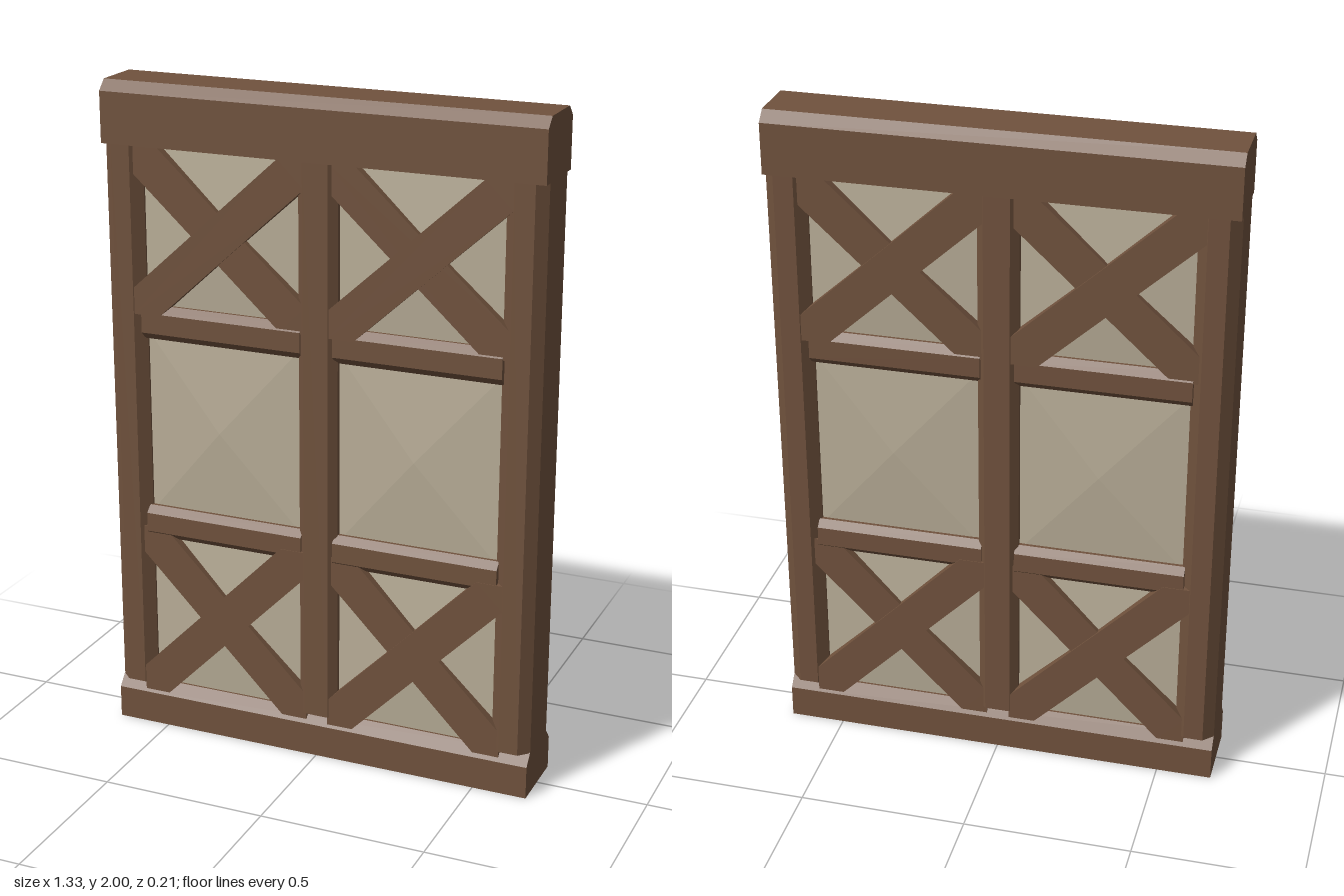
import * as THREE from 'three';

const timber = new THREE.MeshStandardMaterial({ color: 0x70523d });
timber.name = 'brown timber';
const plaster = new THREE.MeshStandardMaterial({ color: 0xb9ae98 });
plaster.name = 'beige plaster';

// Straight prism along z from a list of outline points
function prism(points, length) {
  const shape = new THREE.Shape(points.map(([x, y]) => new THREE.Vector2(x, y)));
  return new THREE.ExtrudeGeometry(shape, { depth: length, bevelEnabled: false });
}

// Horizontal timber: outline in depth and height, run from x0 to x1
function beam(points, x0, x1) {
  return prism(points, x1 - x0).rotateY(Math.PI / 2).translate(x0, 0, 0);
}

// Rectangle with all four corners chamfered
function chamfered(w, h, c, cy = 0) {
  return [
    [-w + c, cy - h], [w - c, cy - h], [w, cy - h + c], [w, cy + h - c],
    [w - c, cy + h], [-w + c, cy + h], [-w, cy + h - c], [-w, cy - h + c],
  ];
}

// Infill cell: shallow four-sided bulge facing +z
function bulge(x0, x1, y0, y1, ax, ay) {
  const base = 0.066, peak = 0.086;
  const corners = [[x0, y0], [x1, y0], [x1, y1], [x0, y1]];
  const pos = [];
  corners.forEach(([x, y], i) => {
    const [nx, ny] = corners[(i + 1) % 4];
    pos.push(x, y, base, nx, ny, base, ax, ay, peak);
  });
  const g = new THREE.BufferGeometry();
  g.setAttribute('position', new THREE.Float32BufferAttribute(pos, 3));
  g.computeVertexNormals();
  return g;
}

// Diagonal brace with ends cut square to the bay; flip leans it the other way
function brace(x0, x1, y0, y1, front, flip) {
  const a = 0.08, b = 0.08;
  let pts = [
    [x0, y0], [x0 + a, y0], [x1, y1 - b], [x1, y1], [x1 - a, y1], [x0, y0 + b],
  ];
  if (flip) pts = pts.map(([x, y]) => [x0 + x1 - x, y]).reverse();
  return prism(pts, front - 0.03).translate(0, 0, 0.03);
}

export function createModel() {
  const model = new THREE.Group();
  model.name = 'timberFramedWall';
  const add = (parent, name, geometry, material) => {
    const mesh = new THREE.Mesh(geometry, material);
    mesh.name = name;
    parent.add(mesh);
  };

  // Sill and head beams, chamfered along their upper edges
  const W = 0.665, D = 0.105;
  add(model, 'sillBeam', beam(
    [[-D, 0], [D, 0], [D, 0.1], [0.075, 0.135], [-0.075, 0.135], [-D, 0.1]], -W, W), timber);
  add(model, 'headBeam', beam(
    [[-D, 1.82], [D, 1.82], [D, 1.97], [0.075, 2], [-0.075, 2], [-D, 1.97]], -W, W), timber);

  // Posts
  const post = (name, x, half, c) => add(model, name,
    prism(chamfered(half, 0.104, c), 1.69).rotateX(-Math.PI / 2).translate(x, 0.133, 0), timber);
  post('leftPost', 0.606, 0.059, 0.03);
  post('rightPost', -0.606, 0.059, 0.03);
  post('centrePost', 0, 0.06, 0.022);

  // Rails across each bay
  for (const [side, x0, x1] of [['right', -0.555, -0.05], ['left', 0.05, 0.555]]) {
    add(model, side + 'LowerRail', beam(chamfered(0.1, 0.05, 0.021, 0.67), x0, x1), timber);
    add(model, side + 'UpperRail', beam(chamfered(0.1, 0.052, 0.022, 1.297), x0, x1), timber);
  }

  // Cross braces and bulging infill, the same on both faces
  for (const face of ['front', 'back']) {
    const half = new THREE.Group();
    half.name = face + 'Face';
    if (face === 'back') half.rotation.y = Math.PI;
    for (const s of [-1, 1]) {
      const bx = s * 0.305;
      for (const [level, y0, y1] of [['lower', 0.11, 0.655], ['upper', 1.322, 1.822]]) {
        add(half, level + 'RisingBrace', brace(bx - 0.27, bx + 0.27, y0, y1, 0.102, false), timber);
        add(half, level + 'FallingBrace', brace(bx - 0.27, bx + 0.27, y0, y1, 0.096, true), timber);
      }
      for (const [y0, y1, ay] of [[0.1, 0.67, 0.39], [0.67, 1.297, 0.98], [1.297, 1.84, 1.57]]) {
        add(half, 'infillPanel', bulge(bx - 0.27, bx + 0.27, y0, y1, bx - 0.01, ay), plaster);
      }
    }
    model.add(half);
  }
  return model;
}
